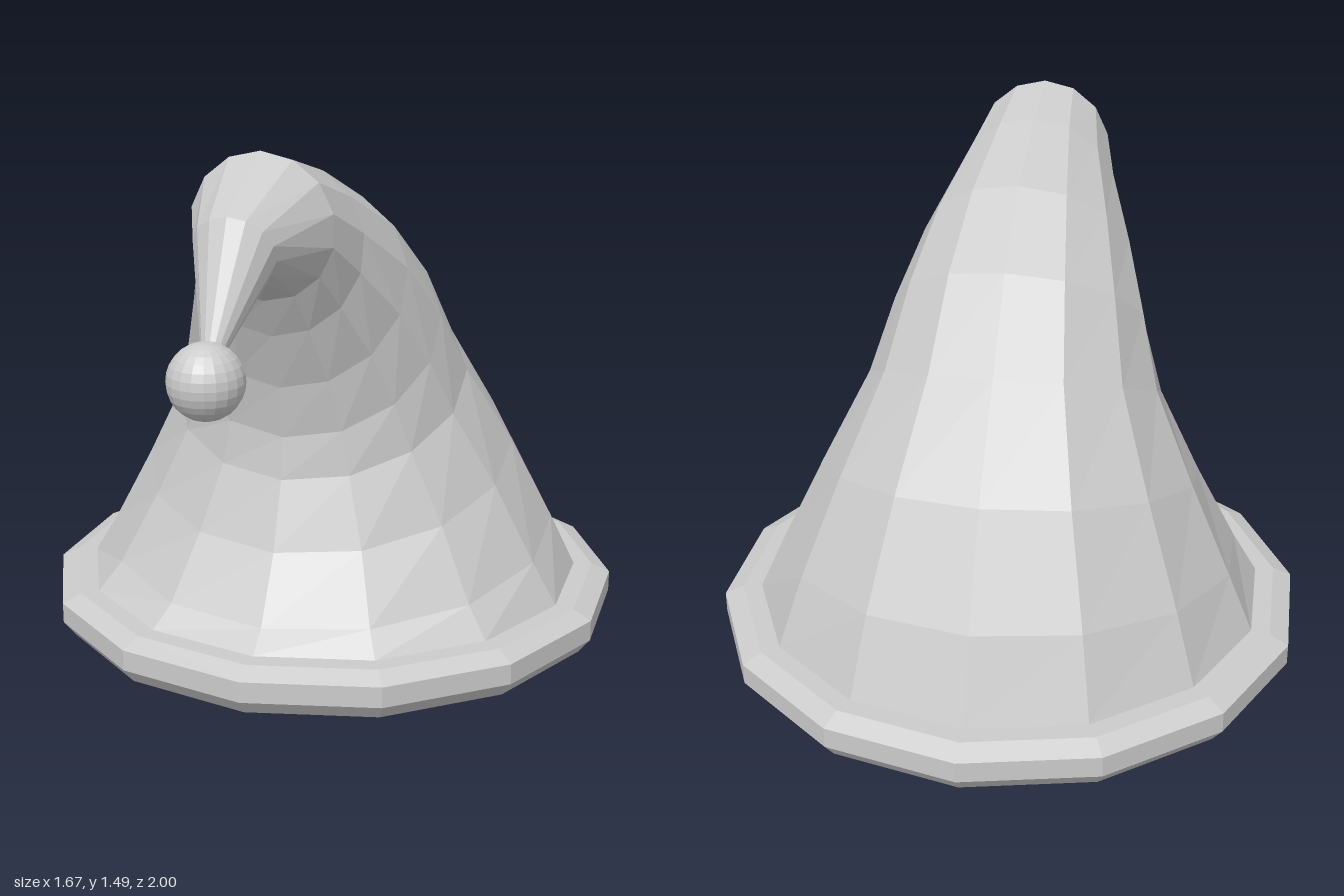
import * as THREE from 'three';

const SIDES = 14;
const material = new THREE.MeshStandardMaterial({ color: 0xcccccc, flatShading: true });

function addMesh(group, name, geometry) {
  let flat = geometry;
  if (geometry.index) flat = geometry.toNonIndexed();
  flat.computeVertexNormals();
  const mesh = new THREE.Mesh(flat, material);
  mesh.name = name;
  group.add(mesh);
  return mesh;
}

// Skin round rings, each given by its back and front points: [backZ, backY, frontZ, frontY]
function loftRings(rings) {
  const positions = [];
  const index = [];
  rings.forEach(([bz, by, fz, fy], r) => {
    const cz = (bz + fz) / 2, cy = (by + fy) / 2;
    const uz = (bz - fz) / 2, uy = (by - fy) / 2;
    const radius = Math.hypot(uz, uy);
    for (let i = 0; i < SIDES; i++) {
      const a = (i / SIDES) * Math.PI * 2;
      positions.push(Math.sin(a) * radius, cy + Math.cos(a) * uy, cz + Math.cos(a) * uz);
      if (r === rings.length - 1) continue;
      const p = r * SIDES + i, q = r * SIDES + (i + 1) % SIDES;
      index.push(p, p + SIDES, q, q, p + SIDES, q + SIDES);
    }
  });
  const geometry = new THREE.BufferGeometry();
  geometry.setAttribute('position', new THREE.Float32BufferAttribute(positions, 3));
  geometry.setIndex(index);
  return geometry;
}

export function createModel() {
  const hat = new THREE.Group();
  hat.name = 'hat';

  // Bevelled brim with a closed underside
  const profile = [[0, 0], [0.82, 0], [0.855, 0.045], [0.855, 0.105], [0.8, 0.13], [0.7, 0.13]];
  const brim = addMesh(hat, 'brim',
    new THREE.LatheGeometry(profile.map(([x, y]) => new THREE.Vector2(x, y)), SIDES));
  brim.position.z = -0.145;

  // Cone that curls forward and tapers down into the bobble
  addMesh(hat, 'curledCone', loftRings([
    [-0.89, 0.13, 0.6, 0.13],
    [-0.8, 0.36, 0.53, 0.18],
    [-0.64, 0.65, 0.42, 0.36],
    [-0.42, 0.92, 0.35, 0.55],
    [-0.23, 1.15, 0.335, 0.67],
    [0, 1.32, 0.36, 0.82],
    [0.28, 1.43, 0.42, 0.98],
    [0.495, 1.485, 0.48, 1.09],
    [0.745, 1.36, 0.64, 1.17],
    [0.911, 0.994, 0.899, 0.986],
  ]));

  // Bobble on the tip
  const bobble = addMesh(hat, 'bobble', new THREE.SphereGeometry(0.097, 20, 14));
  bobble.position.set(0, 0.99, 0.903);

  return hat;
}
